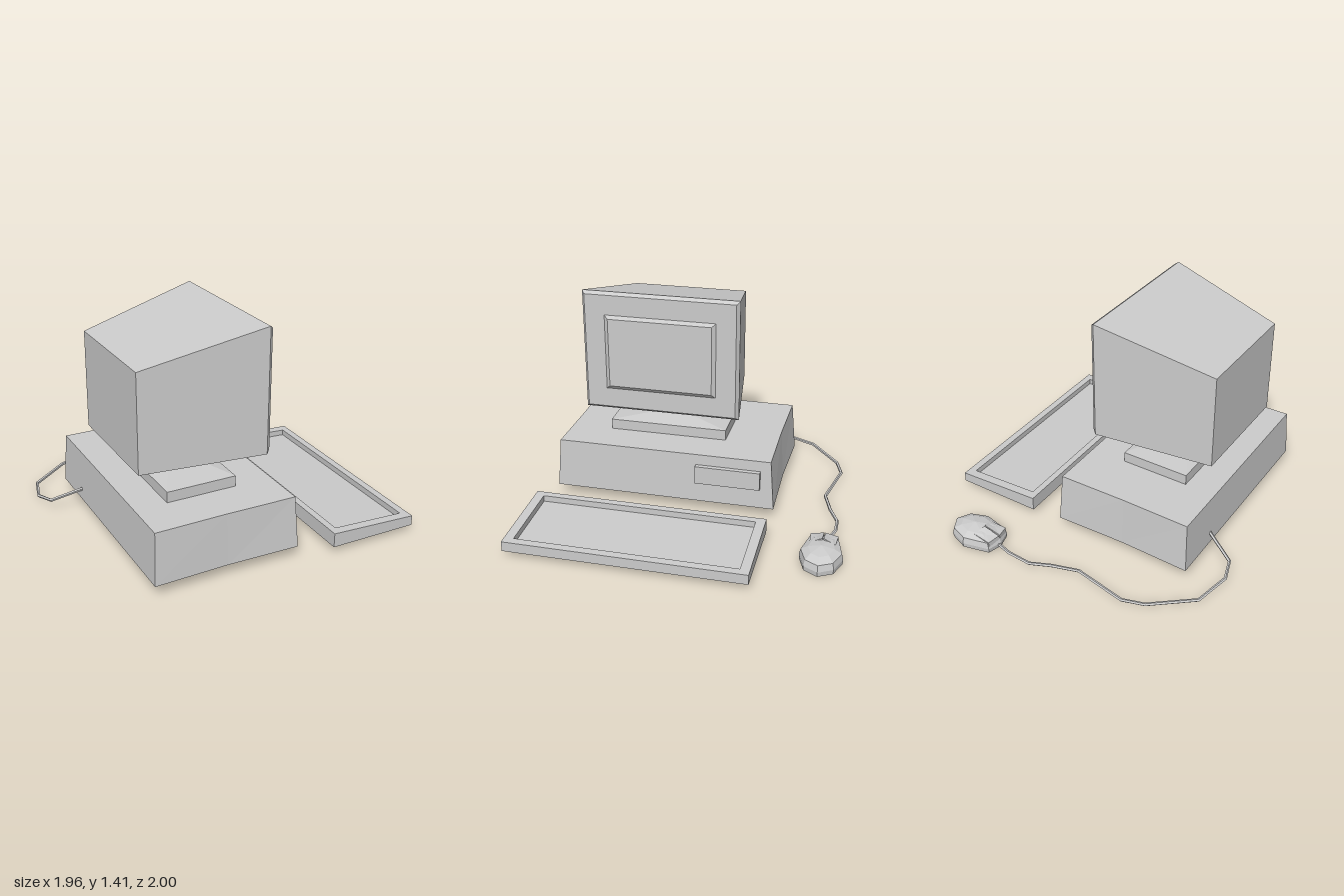
import * as THREE from 'three';

const grey = new THREE.MeshStandardMaterial({ color: 0xcccccc, flatShading: true, side: THREE.DoubleSide });

// Skin a series of rings (arrays of [x, y, z]) that run counter-clockwise about the loft direction
function loft(name, rings, capStart = true, capEnd = true) {
  const pos = [];
  const tri = (a, b, c) => pos.push(...a, ...b, ...c);
  const cap = (ring, flip) => {
    const mid = [0, 1, 2].map(k => ring.reduce((s, p) => s + p[k], 0) / ring.length);
    ring.forEach((p, i) => {
      const q = ring[(i + 1) % ring.length];
      flip ? tri(mid, q, p) : tri(mid, p, q);
    });
  };
  for (let r = 0; r + 1 < rings.length; r++) {
    const a = rings[r], b = rings[r + 1];
    a.forEach((p, i) => {
      const j = (i + 1) % a.length;
      tri(p, a[j], b[j]);
      tri(p, b[j], b[i]);
    });
  }
  if (capStart) cap(rings[0], true);
  if (capEnd) cap(rings[rings.length - 1], false);
  const geo = new THREE.BufferGeometry();
  geo.setAttribute('position', new THREE.Float32BufferAttribute(pos, 3));
  geo.computeVertexNormals();
  const mesh = new THREE.Mesh(geo, grey);
  mesh.name = name;
  return mesh;
}

// Horizontal rectangle, optionally sloping from height y (x0) to height y1 (x1)
const flat = (x0, x1, z0, z1, y, y1 = y) => [[x0, y, z1], [x1, y1, z1], [x1, y1, z0], [x0, y, z0]];
// Horizontal rectangle whose two end walls are pulled in by d at the middle
const waisted = (x0, x1, z0, z1, y, d) => {
  const m = (x0 + x1) / 2;
  return [[x0, y, z1], [m, y, z1 - d], [x1, y, z1], [x1, y, z0], [m, y, z0 + d], [x0, y, z0]];
};
// Upright rectangle facing +x
const upright = (x, y0, y1, z0, z1) => [[x, y0, z1], [x, y0, z0], [x, y1, z0], [x, y1, z1]];

// Straight-segment path with evenly indexed corners
class Polyline extends THREE.Curve {
  constructor(points) {
    super();
    this.points = points.map(p => new THREE.Vector3(...p));
  }
  getPoint(t, target = new THREE.Vector3()) {
    const f = t * (this.points.length - 1);
    const i = Math.min(Math.floor(f), this.points.length - 2);
    return target.lerpVectors(this.points[i], this.points[i + 1], f - i);
  }
  getUtoTmapping(u) { return u; }
}

function createMouse() {
  const mouse = new THREE.Group();
  mouse.name = 'mouse';
  const cx = 0.585, cz = -0.867;
  const outline = [[0.385, -0.867], [0.41, -0.775], [0.585, -0.735], [0.705, -0.778],
    [0.755, -0.867], [0.705, -0.956], [0.585, -1.0], [0.41, -0.959]];
  const ring = (s, y) => outline.map(([x, z]) => [cx + (x - cx) * s, y, cz + (z - cz) * s]);
  mouse.add(loft('mouseBody', [ring(0.98, 0), ring(1, 0.03), ring(0.93, 0.07), ring(0.6, 0.095), ring(0.01, 0.112)]));
  // Two raised buttons either side of the centre line
  for (const side of [1, -1]) {
    const quad = (lift) => {
      const q = [[0.395, 0.076 + lift, cz + side * 0.004], [0.412, 0.07 + lift, cz + side * 0.085],
        [0.53, 0.082 + lift, cz + side * 0.078], [0.51, 0.105 + lift, cz + side * 0.004]];
      return side > 0 ? q : q.reverse();
    };
    mouse.add(loft(side > 0 ? 'leftMouseButton' : 'rightMouseButton', [quad(-0.03), quad(0.008)]));
  }
  return mouse;
}

export function createModel() {
  const model = new THREE.Group();
  model.name = 'desktopComputer';

  // Case: open-bottomed shell with a shallow recess under the stand
  const foot = y => waisted(-0.53, -0.08, -0.14, 0.64, y, 0);
  model.add(loft('case', [
    waisted(-0.75, 0.18, -0.51, 0.94, 0.075, 0.012),
    waisted(-0.735, 0.165, -0.485, 0.915, 0.4, 0.006),
    foot(0.4), foot(0.42),
  ], false, false));

  // Drive panel on the face of the case
  const drive = new THREE.Mesh(new THREE.BoxGeometry(0.04, 0.12, 0.42), grey);
  drive.name = 'drivePanel';
  drive.position.set(0.18, 0.27, -0.21);
  model.add(drive);

  // Stand with sloping top and square neck
  model.add(loft('stand', [
    flat(-0.53, -0.08, -0.14, 0.64, 0.42),
    flat(-0.53, -0.08, -0.14, 0.64, 0.468),
    flat(-0.37, -0.24, 0.17, 0.33, 0.5),
    flat(-0.37, -0.24, 0.17, 0.33, 0.588),
  ]));

  // Monitor: flared underside, tapering housing, bevelled bezel and raised screen
  const monitor = new THREE.Group();
  monitor.name = 'monitor';
  monitor.add(loft('monitorUnderside', [
    flat(-0.37, -0.24, 0.17, 0.33, 0.586),
    [[-0.7, 0.61, 0.63], [0.065, 0.625, 0.75], [0.065, 0.625, -0.255], [-0.7, 0.61, -0.14]],
  ], true, false));
  monitor.add(loft('monitorHousing', [
    upright(-0.7, 0.61, 1.23, -0.14, 0.63),
    upright(0.065, 0.625, 1.41, -0.255, 0.75),
    upright(0.09, 0.645, 1.392, -0.235, 0.73),
  ]));
  monitor.add(loft('screen', [
    upright(0.089, 0.77, 1.265, -0.11, 0.605),
    upright(0.108, 0.795, 1.243, -0.085, 0.578),
  ]));
  model.add(monitor);

  // Keyboard: open-bottomed wedge with a sunken tray
  model.add(loft('keyboard', [
    flat(0.4, 0.98, -0.505, 1, 0.04),
    flat(0.4, 0.98, -0.505, 1, 0.132, 0.104),
    flat(0.445, 0.93, -0.445, 0.94, 0.13, 0.106),
    flat(0.445, 0.93, -0.445, 0.94, 0.09, 0.068),
  ], false, true));

  model.add(createMouse());

  // Cable from the back of the case round to the mouse
  const path = new Polyline([
    [-0.7, 0.165, -0.172], [-0.93, 0.065, -0.28], [-0.97, 0.045, -0.41], [-0.91, 0.02, -0.63],
    [-0.66, 0.018, -0.83], [-0.52, 0.018, -0.873], [-0.17, 0.018, -0.805], [0, 0.018, -0.857],
    [0.13, 0.018, -0.915], [0.28, 0.036, -0.92], [0.42, 0.018, -0.87],
  ]);
  const cable = new THREE.Mesh(new THREE.TubeGeometry(path, path.points.length - 1, 0.011, 5), grey);
  cable.name = 'mouseCable';
  model.add(cable);

  return model;
}
